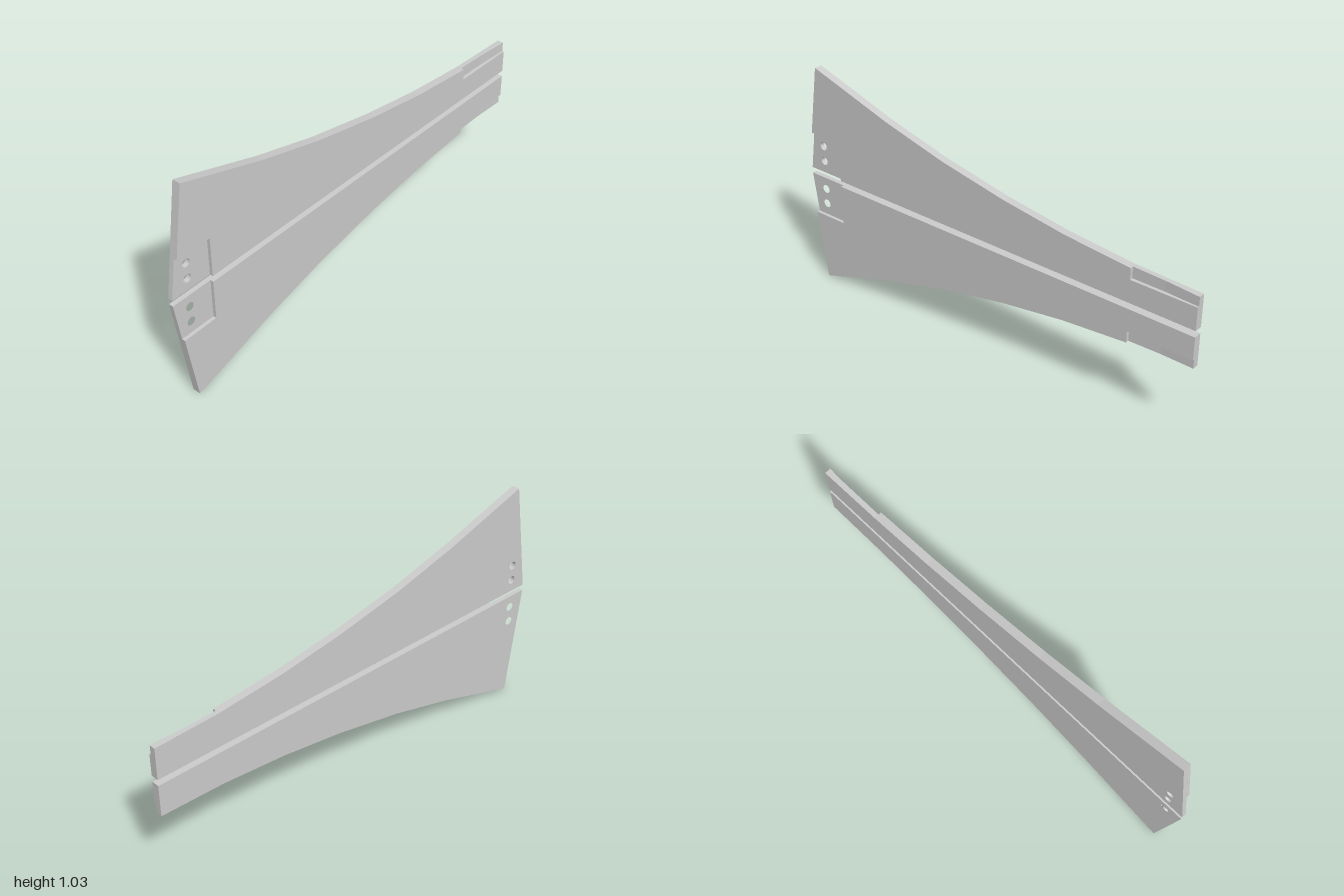
import * as THREE from 'three';

const BACK = -0.018, FLOOR = 0.003, FRONT = 0.018; // z levels: back, recess floor, front
const MID = 0.515;                                 // mirror line between the blades
const material = new THREE.MeshStandardMaterial({ color: 0xcccccc, flatShading: true });

// Faceted concave edge, from near the tip to the wide root
const curve = [[0.705, 0.682], [0.4, 0.71], [0.1, 0.755], [-0.22, 0.82], [-0.52, 0.9], [-0.925, 1.03]];

function slab(name, points, z0, z1, flip, holes = []) {
  const y = (v) => (flip ? 2 * MID - v : v);
  const shape = new THREE.Shape(points.map(([px, py]) => new THREE.Vector2(px, y(py))));
  for (const [hx, hy] of holes) {
    shape.holes.push(new THREE.Path().absarc(hx, y(hy), 0.019, 0, Math.PI * 2, true));
  }
  const geometry = new THREE.ExtrudeGeometry(shape, { depth: z1 - z0, bevelEnabled: false, curveSegments: 12 });
  geometry.translate(0, 0, z0);
  const mesh = new THREE.Mesh(geometry, material);
  mesh.name = name;
  return mesh;
}

function createBlade(name, flip) {
  const blade = new THREE.Group();
  blade.name = name;

  // Full outline with two bolt holes at the root
  blade.add(slab('backPlate', [[-1, 0.529], [1, 0.529], [1, 0.673], ...curve],
    BACK, FLOOR, flip, [[-0.92, 0.657], [-0.92, 0.584]]));

  // Front layer leaves out the root pocket and the tip recess
  blade.add(slab('frontPlate', [[-0.81, 0.529], [1, 0.529], [1, 0.631], [0.705, 0.631],
    ...curve, [-0.973, 0.712], [-0.81, 0.712]], FLOOR, FRONT, flip));

  // Shallow ramp on the recess floor, rising towards the tip
  const ramp = slab('tipRamp', [[0.85, 0.631], [1, 0.631], [1, 0.673], [0.85, 0.6776]], FLOOR, 0.01, flip);
  const p = ramp.geometry.attributes.position;
  for (let i = 0; i < p.count; i++) {
    if (p.getX(i) < 0.9) p.setZ(i, FLOOR);
  }
  ramp.geometry.computeVertexNormals();
  blade.add(ramp);
  return blade;
}

export function createModel() {
  const model = new THREE.Group();
  model.name = 'bladePair';
  model.add(createBlade('upperBlade', false), createBlade('lowerBlade', true));
  return model;
}
